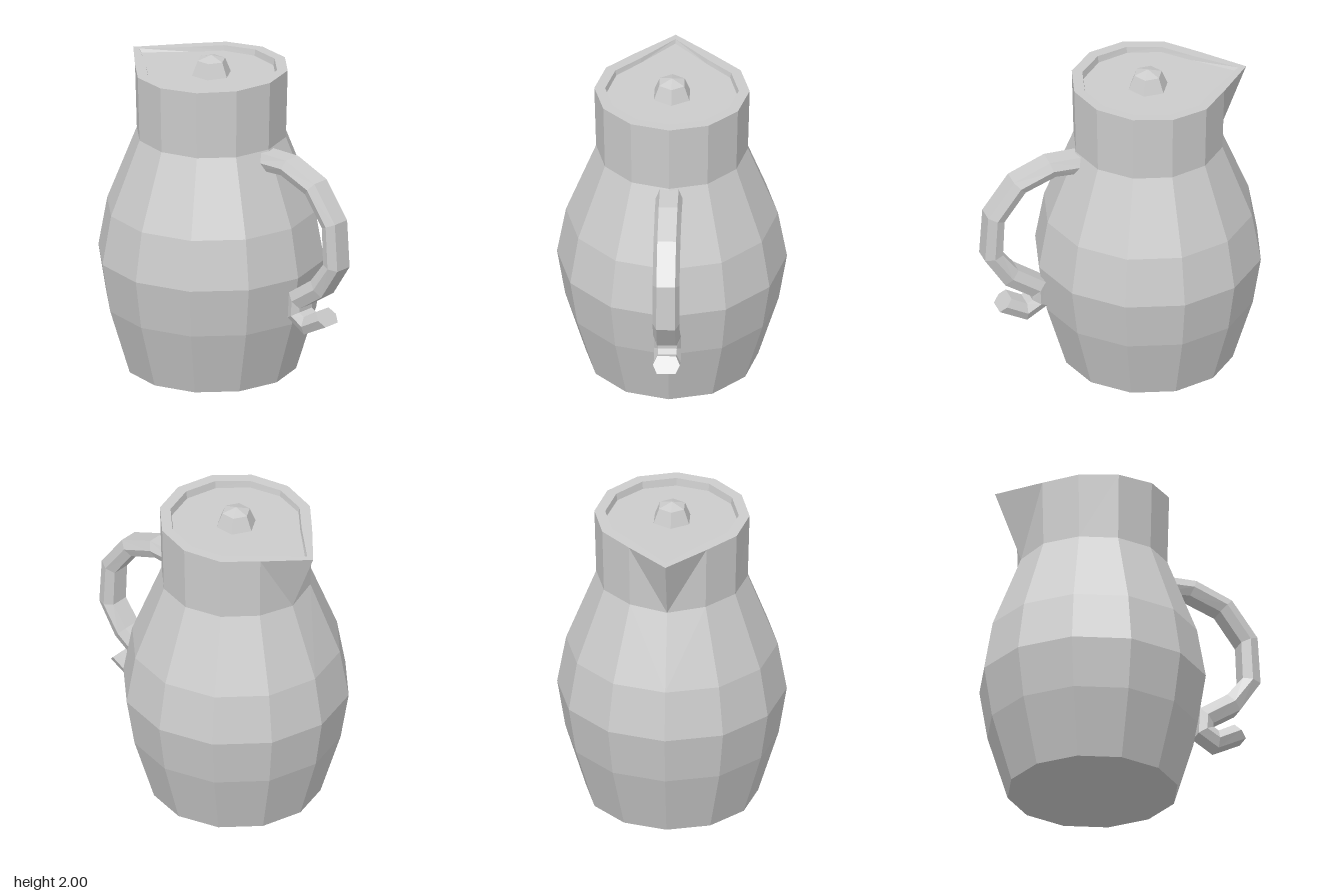
import * as THREE from 'three';

const CX = -0.185; // axis of the jug
const V = (x, y, z) => new THREE.Vector3(x, y, z);
const material = new THREE.MeshStandardMaterial({ color: 0xcccccc, flatShading: true });

// Skin a list of cross-section loops, optionally closing the ends with fans
function loft(name, rings, capStart, capEnd) {
  const pos = [];
  const tri = (...pts) => pts.forEach((p) => pos.push(p.x, p.y, p.z));
  const n = rings[0].length;
  for (let r = 0; r < rings.length - 1; r++) {
    for (let i = 0; i < n; i++) {
      const j = (i + 1) % n;
      const a = rings[r][i], b = rings[r + 1][i], c = rings[r + 1][j], d = rings[r][j];
      // Mirror the diagonals so both sides of the spout fold alike
      if (i < n / 2) { tri(a, b, d); tri(b, c, d); }
      else { tri(a, b, c); tri(a, c, d); }
    }
  }
  const cap = (ring, flip) => {
    const mid = ring.reduce((s, p) => s.add(p), V(0, 0, 0)).divideScalar(n);
    ring.forEach((p, i) => {
      const q = ring[(i + 1) % n];
      if (flip) tri(mid, q, p); else tri(mid, p, q);
    });
  };
  if (capStart) cap(rings[0], false);
  if (capEnd) cap(rings[rings.length - 1], true);
  const geometry = new THREE.BufferGeometry();
  geometry.setAttribute('position', new THREE.Float32BufferAttribute(pos, 3));
  geometry.computeVertexNormals();
  const mesh = new THREE.Mesh(geometry, material);
  mesh.name = name;
  return mesh;
}

// Regular horizontal loop around the jug axis
function loop(radius, y, n = 12) {
  return Array.from({ length: n }, (_, i) => {
    const a = (i / n) * Math.PI * 2;
    return V(CX + radius * Math.cos(a), y, radius * Math.sin(a));
  });
}

// Loop at the mouth: one corner is pulled out into the spout, and the rim tilts
function mouthLoop(radius, tipX, y, tilt) {
  const ring = loop(radius, y);
  ring[6].x = tipX;
  ring.forEach((p) => { p.y += tilt * p.x; });
  return ring;
}

export function createModel() {
  const group = new THREE.Group();
  group.name = 'pitcher';

  // Body, neck, spout and rim in one skin
  const profile = [[0.525, 0], [0.65, 0.41], [0.7, 0.72], [0.645, 1.03], [0.462, 1.5]];
  const bodyRings = profile.map(([r, y]) => loop(r, y));
  bodyRings[4][6].y = 1.485;
  const lidEdge = mouthLoop(0.4, -0.75, 1.882, 0.01);
  bodyRings.push(
    mouthLoop(0.473, -0.815, 1.925, 0.036),
    mouthLoop(0.407, -0.765, 1.925, 0.036),
    lidEdge,
  );
  group.add(loft('body', bodyRings, true, false));

  // Lid, sunk just below the rim
  group.add(loft('lid', [lidEdge], false, true));

  // Six-sided knob with a low point
  group.add(loft('lidKnob',
    [loop(0.125, 1.88, 6), loop(0.088, 1.972, 6), loop(0.001, 2, 6)], false, true));

  // Handle: outer and inner edge of each joint in the x-y plane
  const joints = [
    [0.2, 1.49, 0.22, 1.375],
    [0.465, 1.49, 0.425, 1.385],
    [0.695, 1.395, 0.62, 1.31],
    [0.86, 1.17, 0.755, 1.125],
    [0.88, 0.87, 0.765, 0.888],
    [0.75, 0.67, 0.665, 0.76],
    [0.575, 0.555, 0.49, 0.64],
    [0.575, 0.53, 0.48, 0.475],
    [0.61, 0.51, 0.61, 0.395],
    [0.71, 0.565, 0.785, 0.485],
  ];
  const flat = 0.057, wide = 0.082;
  const handleRings = joints.map(([ox, oy, ix, iy]) => {
    const mx = (ox + ix) / 2, my = (oy + iy) / 2;
    return [
      V(ox, oy, flat), V(ox, oy, -flat), V(mx, my, -wide),
      V(ix, iy, -flat), V(ix, iy, flat), V(mx, my, wide),
    ];
  });
  group.add(loft('handle', handleRings, true, true));

  return group;
}
